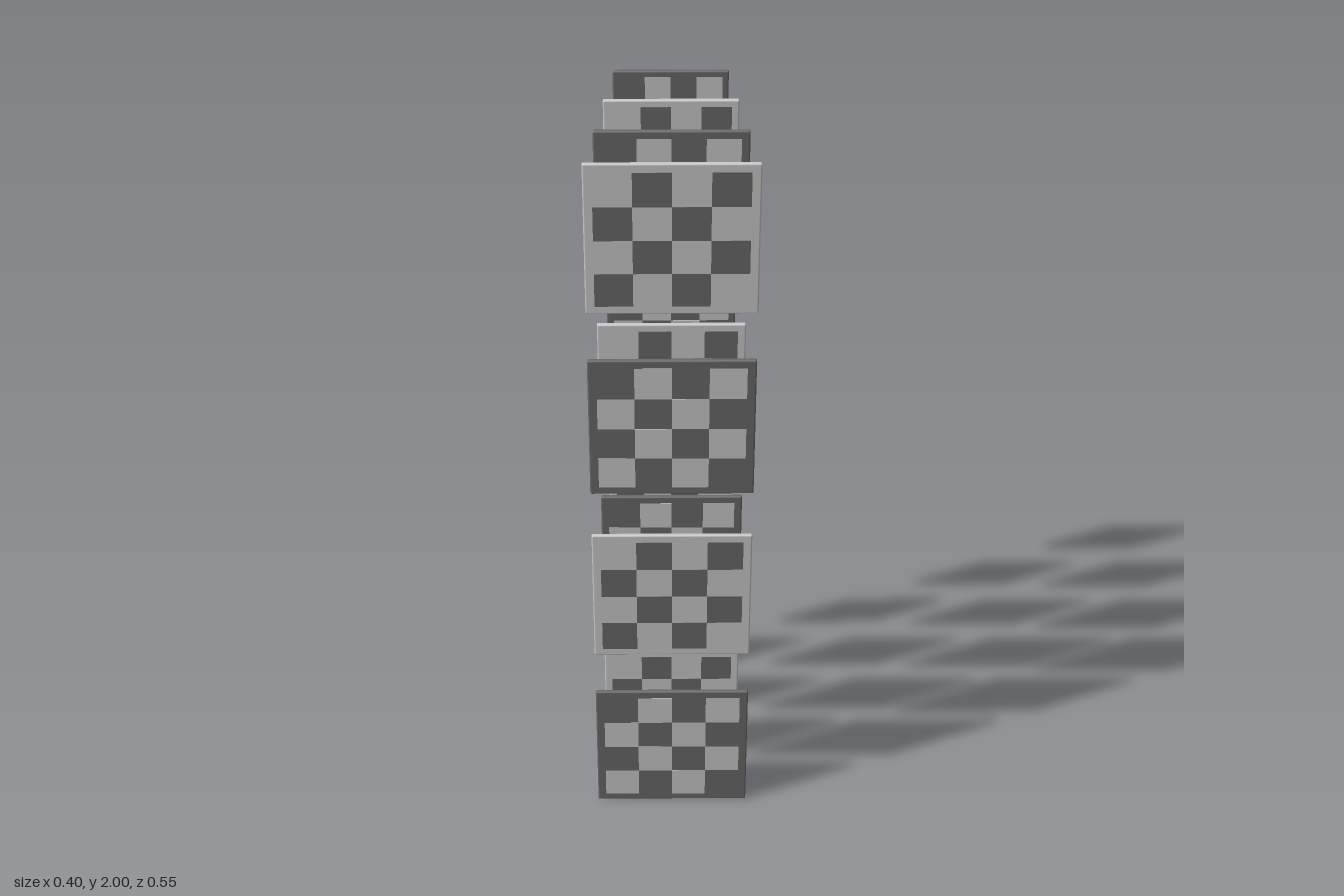
import * as THREE from 'three';
import { RoundedBoxGeometry } from 'three/addons/geometries/RoundedBoxGeometry.js';

const light = new THREE.MeshStandardMaterial({ color: 0xcccccc });
const dark = new THREE.MeshStandardMaterial({ color: 0x6a6a6a });

const LEVELS = 4, LAYERS = 4, CELLS = 4;
const THICKNESS = 0.012;

// One chequered panel: a soft-edged slab with inlays showing on both faces
function makePanel(size, slabMaterial, inlayMaterial) {
  const panel = new THREE.Group();

  const slab = new THREE.Mesh(
    new RoundedBoxGeometry(size, size, THICKNESS, 2, 0.004), slabMaterial);
  slab.name = 'slab';
  panel.add(slab);

  const cell = size * 0.223;
  const inlayGeometry = new THREE.BoxGeometry(cell, cell, THICKNESS + 0.001);
  for (let row = 0; row < CELLS; row++) {
    for (let col = 0; col < CELLS; col++) {
      if ((row + col) % 2) continue;
      const inlay = new THREE.Mesh(inlayGeometry, inlayMaterial);
      inlay.name = 'inlaySquare';
      inlay.position.set((col - 1.5) * cell, (row - 1.5) * cell, 0);
      panel.add(inlay);
    }
  }
  return panel;
}

export function createModel() {
  const model = new THREE.Group();
  model.name = 'chequeredPanels';

  // Four levels, each with four panels shrinking towards the back
  for (let level = 0; level < LEVELS; level++) {
    for (let layer = 0; layer < LAYERS; layer++) {
      const isDark = (level + layer) % 2 === 0;
      const panel = makePanel(0.4 - layer * 0.04,
        isDark ? dark : light, isDark ? light : dark);
      panel.name = `panelLevel${level + 1}Layer${layer + 1}`;
      panel.position.set(0, 0.2 + level * 1.6 / 3, (1.5 - layer) * 0.1778);
      model.add(panel);
    }
  }
  return model;
}
